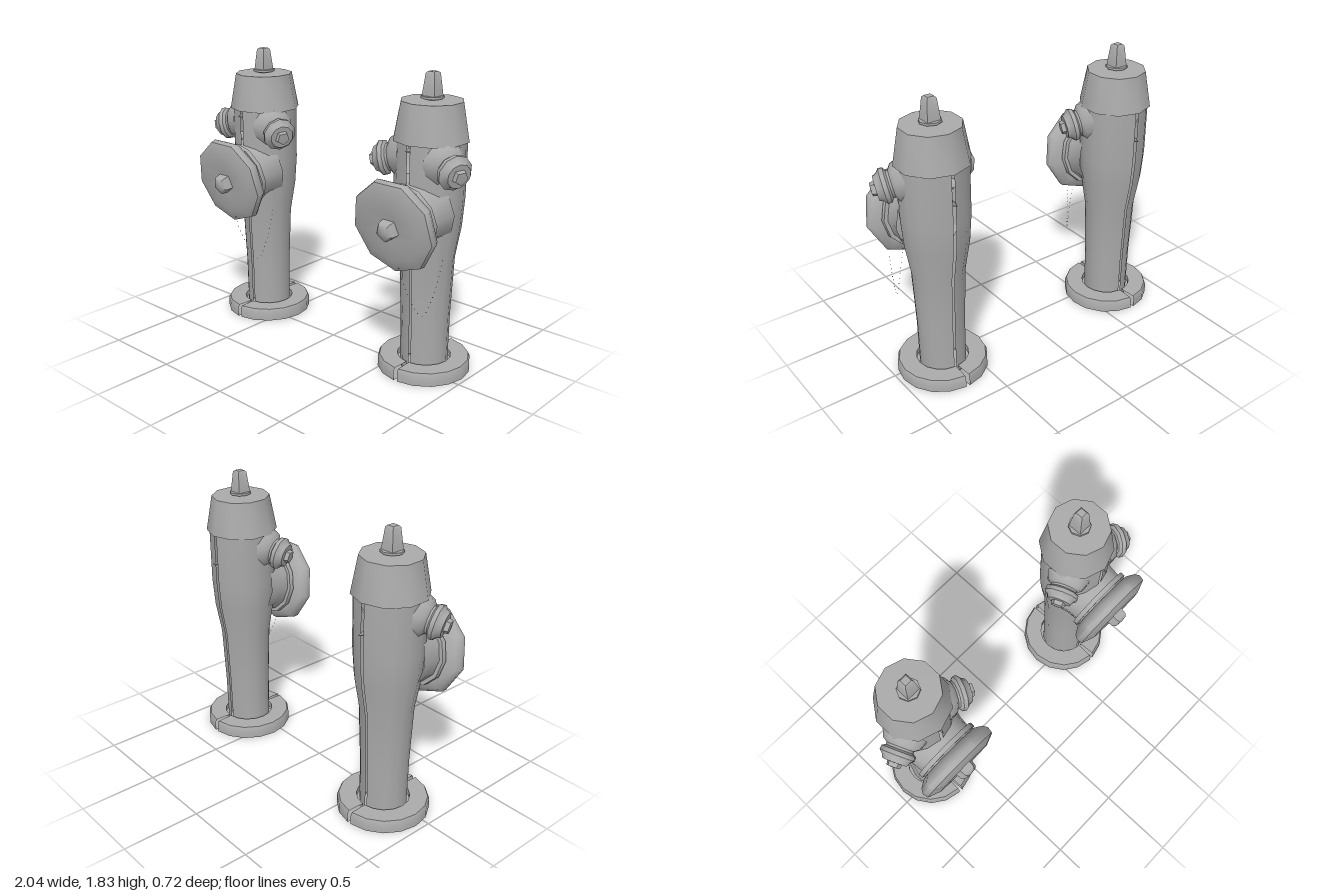
import * as THREE from 'three';
import { toCreasedNormals } from 'three/addons/utils/BufferGeometryUtils.js';

const castIron = new THREE.MeshStandardMaterial({ color: 0xaaaaaa, side: THREE.DoubleSide });
castIron.name = 'cast iron grey';

const UP = new THREE.Vector3(0, 1, 0);
const SEAM = 0.045; // half angle of the open casting seam

// Turned part from [radius, height] pairs, with sharp corners kept
function turned(name, profile, sides, start = 0, sweep = Math.PI * 2, crease = 0.82) {
  const points = profile.map(([r, y]) => new THREE.Vector2(r, y));
  const geometry = toCreasedNormals(new THREE.LatheGeometry(points, sides, start, sweep), crease);
  const mesh = new THREE.Mesh(geometry, castIron);
  mesh.name = name;
  return mesh;
}

// Two half castings with a narrow gap at front and back
function splitTurned(name, profile, sides) {
  const group = new THREE.Group();
  group.name = name;
  for (const [half, start] of [['leftHalf', SEAM], ['rightHalf', Math.PI + SEAM]]) {
    group.add(turned(half, profile, sides, start, Math.PI - 2 * SEAM, 0.6));
  }
  return group;
}

// Group whose y axis is turned to point along a direction
function aimed(name, origin, direction) {
  const group = new THREE.Group();
  group.name = name;
  group.position.set(...origin);
  group.quaternion.setFromUnitVectors(UP, new THREE.Vector3(...direction).normalize());
  return group;
}

function frontOutlet() {
  const outlet = aimed('frontOutlet', [0, 1.03, 0.05], [0, -0.17, 0.985]);
  outlet.add(
    turned('barrel', [[0.225, -0.06], [0.2, 0.03], [0.195, 0.1], [0.22, 0.1], [0.22, 0.13], [0.205, 0.13], [0.205, 0.16]], 12),
    turned('largeCap', [[0, 0.13], [0.22, 0.14], [0.27, 0.17], [0.287, 0.2], [0.28, 0.235], [0.2, 0.265], [0.08, 0.255], [0, 0.255]], 9),
    turned('capNut', [[0.07, 0.245], [0.062, 0.3], [0.045, 0.315], [0, 0.32]], 5)
  );
  return outlet;
}

function sideOutlet(side) {
  const name = side > 0 ? 'leftOutlet' : 'rightOutlet';
  const outlet = aimed(name, [side * 0.14, 1.335, 0], [side * 0.85, -0.2, 0.36]);
  outlet.add(
    turned('neck', [[0.14, 0], [0.115, 0.06], [0.085, 0.08], [0.085, 0.12]], 10),
    turned('smallCap', [[0.08, 0.09], [0.105, 0.105], [0.108, 0.13], [0.085, 0.15], [0.075, 0.172], [0, 0.176]], 10),
    turned('capNut', [[0.048, 0.17], [0.042, 0.2], [0, 0.203]], 5)
  );
  return outlet;
}

// Fine bead chain hanging under the front cap
function chain() {
  const group = new THREE.Group();
  group.name = 'chain';
  const path = new THREE.CatmullRomCurve3([
    [0.03, 0.78, 0.26], [0.08, 0.62, 0.24], [0.155, 0.46, 0.18], [0.2, 0.6, 0.13], [0.23, 0.8, 0.1]
  ].map((p) => new THREE.Vector3(...p)));
  const bead = new THREE.OctahedronGeometry(0.004);
  for (const point of path.getSpacedPoints(22)) {
    const mesh = new THREE.Mesh(bead, castIron);
    mesh.name = 'chainBead';
    mesh.position.copy(point);
    group.add(mesh);
  }
  return group;
}

function hydrant() {
  const group = new THREE.Group();
  group.name = 'hydrant';
  group.add(
    splitTurned('baseFlange', [[0.135, 0], [0.285, 0], [0.285, 0.06], [0.275, 0.08], [0.165, 0.08], [0.165, 0.04]], 8),
    turned('baseFloor', [[0, 0.008], [0.14, 0.008]], 12),
    splitTurned('barrel', [[0.146, 0.01], [0.15, 0.35], [0.165, 0.72], [0.198, 0.92], [0.211, 1.1], [0.212, 1.45]], 7),
    turned('bonnet', [[0.2, 1.44], [0.228, 1.44], [0.186, 1.668], [0, 1.672]], 10),
    turned('finialCollar', [[0.045, 1.67], [0.068, 1.678], [0.068, 1.692], [0, 1.694]], 8),
    turned('operatingNut', [[0.062, 1.69], [0.043, 1.82], [0.03, 1.83], [0, 1.83]], 4, Math.PI / 4),
    frontOutlet(), sideOutlet(1), sideOutlet(-1), chain()
  );

  // Small lugs bridging the seam
  for (const [y, z] of [[1.41, 0.215], [1.25, -0.215]]) {
    const lug = new THREE.Mesh(new THREE.ConeGeometry(0.022, 0.06, 4), castIron);
    lug.name = 'seamLug';
    lug.position.set(0, y, z);
    lug.rotation.x = Math.sign(z) * Math.PI / 2;
    group.add(lug);
  }
  return group;
}

export function createModel() {
  const model = new THREE.Group();
  model.name = 'hydrantPair';
  for (const [name, x] of [['rightHydrant', -0.68], ['leftHydrant', 0.69]]) {
    const copy = hydrant();
    copy.name = name;
    copy.position.set(x, 0, -0.07);
    // Outlets and chain are laid out around the barrel axis
    model.add(copy);
    copy.getObjectByName('frontOutlet').position.z += 0.07;
    copy.getObjectByName('chain').position.z += 0.07;
    for (const side of ['leftOutlet', 'rightOutlet']) copy.getObjectByName(side).position.z += 0.07;
  }
  return model;
}
